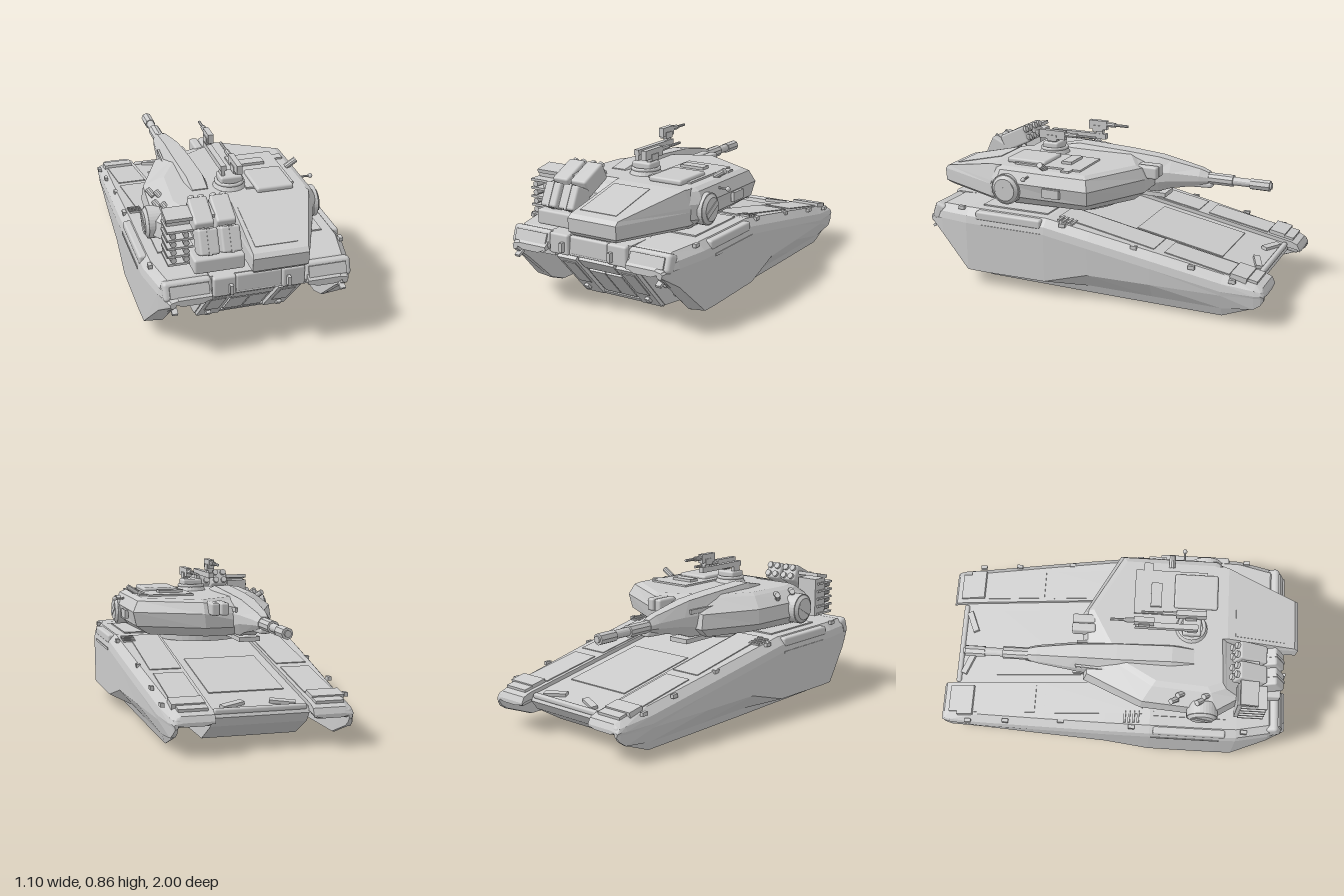
import * as THREE from 'three';
import { RoundedBoxGeometry } from 'three/addons/geometries/RoundedBoxGeometry.js';

const grey = new THREE.MeshStandardMaterial({ color: 0xcccccc, flatShading: true, side: THREE.DoubleSide });
const smooth = new THREE.MeshStandardMaterial({ color: 0xcccccc });

// Skin a list of equal-length rings of [x,y,z]; u,v are the axes used to fill the end caps
function loft(rings, u, v) {
  const tris = [], n = rings[0].length;
  for (let r = 0; r + 1 < rings.length; r++) for (let i = 0; i < n; i++) {
    const j = (i + 1) % n, a = rings[r], b = rings[r + 1];
    tris.push([a[i], a[j], b[j]], [a[i], b[j], b[i]]);
  }
  [rings[0], rings[rings.length - 1]].forEach((ring, end) => {
    const flat = ring.map(p => new THREE.Vector2(p[u], p[v]));
    const sign = Math.sign(THREE.ShapeUtils.area(flat)) * (end ? 1 : -1);
    for (const [a, b, c] of THREE.ShapeUtils.triangulateShape(flat, [])) {
      const s = Math.sign(THREE.ShapeUtils.area([flat[a], flat[b], flat[c]]));
      tris.push(s === sign ? [ring[a], ring[b], ring[c]] : [ring[a], ring[c], ring[b]]);
    }
  });
  // Turn every face outward by the sign of the enclosed volume
  const V = p => new THREE.Vector3(...p);
  const volume = tris.reduce((s, t) => s + V(t[0]).dot(V(t[1]).cross(V(t[2]))), 0);
  if (volume < 0) tris.forEach(t => t.reverse());
  const g = new THREE.BufferGeometry();
  g.setAttribute('position', new THREE.Float32BufferAttribute(tris.flat(2), 3));
  g.computeVertexNormals();
  return g;
}

export function createModel() {
  const model = new THREE.Group();
  model.name = 'tank';
  let target = model;
  const group = (name, parent = model) => {
    target = new THREE.Group();
    target.name = name;
    parent.add(target);
    return target;
  };
  const add = (name, geo, pos = [0, 0, 0], rot = [0, 0, 0], mat = grey) => {
    const m = new THREE.Mesh(geo, mat);
    m.name = name;
    m.position.set(...pos);
    m.rotation.set(...rot);
    target.add(m);
  };
  const box = (name, size, pos, rot) => add(name, new THREE.BoxGeometry(...size), pos, rot);
  const soft = (name, size, pos, rot, r = 0.012) => add(name, new RoundedBoxGeometry(...size, 2, r), pos, rot, smooth);
  const rod = (name, r1, r2, len, pos, rot, sides = 16) =>
    add(name, new THREE.CylinderGeometry(r1, r2, len, sides), pos, rot);
  const alongZ = [-Math.PI / 2, 0, 0], alongX = [0, 0, Math.PI / 2];
  const slope = -0.185, deckY = z => 0.43 - Math.max(0, 0.2 - z) * 0.187;

  // Central hull
  group('hull');
  const profile = [[0.9, 0.425], [0.92, 0.32], [0.86, 0.3], [0.6, 0.02], [0.45, 0], [-0.3, 0], [-0.33, 0.02],
    [-0.74, 0.025], [-0.9, 0.12], [-0.935, 0.17], [-0.92, 0.2], [0.2, 0.412], [0.3, 0.425]];
  add('hullBody', loft([-0.25, 0.25].map(x => profile.map(([z, y]) => [x, y, z])), 2, 1));
  box('glacisPanel', [0.4, 0.01, 0.5], [0, 0.289, -0.45], [slope, 0, 0]);
  soft('noseRail', [0.48, 0.03, 0.03], [0, 0.2, -0.92]);
  for (const s of [-1, 1]) box('noseBrace', [0.13, 0.02, 0.035], [s * 0.13, 0.217, -0.87], [slope, s * 0.4, 0]);
  rod('turretRing', 0.25, 0.25, 0.06, [0, 0.43, 0.25], [0, 0, 0], 40);

  // Sloping rear face with doors, pillars and steps
  const tilt = 0.75;
  const rear = (name, w, h, d, x, y, out = 0) =>
    box(name, [w, h, d], [x, y - out * 0.68, 0.6 + (y - 0.02) * 0.93 + out * 0.73], [tilt, 0, 0]);
  for (const s of [-1, 1]) {
    rear('rearDoor', 0.1, 0.21, 0.015, s * 0.053, 0.13, 0.003);
    rear('rearPillar', 0.12, 0.35, 0.03, s * 0.185, 0.16, 0.005);
    rear('pillarPanel', 0.08, 0.2, 0.02, s * 0.185, 0.19, 0.014);
    rear('rearLamp', 0.025, 0.035, 0.03, s * 0.195, 0.08, 0.02);
    soft('rearDeckBlock', [0.12, 0.11, 0.05], [s * 0.18, 0.37, 0.905]);
    box('towEye', [0.018, 0.05, 0.03], [s * 0.15, 0.36, 0.94]);
    for (const [y, z] of [[0.24, 0.72], [0.14, 0.6], [0.06, 0.5]]) {
      rod('hub', 0.022, 0.022, 0.04, [s * 0.265, y, z], alongX);
      rod('hubCap', 0.014, 0.014, 0.06, [s * 0.265, y, z], alongX);
    }
  }
  rear('rearUpperPanel', 0.22, 0.08, 0.02, 0, 0.26, 0.005);
  rear('rearSill', 0.49, 0.03, 0.02, 0, 0.03);
  soft('rearDeckCentre', [0.24, 0.1, 0.04], [0, 0.372, 0.9]);

  // Hollow side sponsons: z, top, bottom, outer x, tunnel roof, share of the height below the skirt crease
  const stations = [[0.955, 0.345, 0.305, 0.465, 0.31, 0.2], [0.86, 0.42, 0.23, 0.505, 0.31, 0.1],
    [0.68, 0.43, 0.065, 0.543, 0.31, 0.03], [0.58, 0.43, 0.027, 0.545, 0.3, 0.12], [0.2, 0.43, 0.025, 0.545, 0.29, 0.14],
    [-0.05, 0.385, 0.023, 0.533, 0.26, 0.36], [-0.4, 0.32, 0.022, 0.512, 0.22, 0.43],
    [-0.78, 0.248, 0.022, 0.487, 0.16, 0.55], [-0.95, 0.215, 0.09, 0.472, 0.15, 0.5],
    [-0.985, 0.2, 0.115, 0.464, 0.15, 0.45], [-1, 0.17, 0.14, 0.455, 0.15, 0.4]];
  for (const s of [-1, 1]) {
    group(s > 0 ? 'leftSponson' : 'rightSponson');
    add('sponsonShell', loft(stations.map(([z, t, b, xo, roof, crease]) => {
      const h = t - b, lip = Math.min(b + 0.004, roof), bevel = Math.min(0.04, h * 0.2);
      const side = roof + Math.min(0.03, (t - roof) * 0.4);
      return [[0.25, t], [xo - 0.045, t], [xo - 0.008, t - bevel], [xo, t - bevel * 2], [xo - 0.003, b + h * crease],
        [Math.min(0.463, xo - 0.006), Math.max(b, 0.068)], [0.447, b], [0.436, lip], [0.433, side], [0.4, roof],
        [0.3, roof], [0.268, side], [0.25, side]].map(([x, y]) => [s * x, y, z]);
    }), 0, 1));
    const top = (name, w, d, x, z, h = 0.01) =>
      box(name, [w, h, d], [s * x, deckY(z) + h * 0.2, z], [z < 0.2 ? slope : 0, 0, 0]);
    top('rearDeckPanel', 0.19, 0.4, 0.35, 0.42);
    top('frontDeckPanel', 0.17, 0.56, 0.35, -0.12);
    top('noseDeckPanel', 0.16, 0.36, 0.35, -0.63);
    top('headlampHousing', 0.17, 0.09, 0.36, -0.86, 0.03);
    top('headlampRidge', 0.15, 0.05, 0.35, -0.93, 0.02);
    for (let i = 0; i < 4; i++) top('deckGrille', 0.07, 0.012, 0.45, 0.06 + i * 0.025, 0.015);
    // Nose lobes
    for (const x of [0.305, 0.41]) soft('noseLobe', [0.09, 0.05, 0.1], [s * x, 0.175, -0.945], [slope, 0, 0], 0.02);
    // Rear lamp housing and beam under it
    soft('rearLampHousing', [0.25, 0.1, 0.07], [s * 0.365, 0.37, 0.89], [-0.35, 0, 0], 0.02);
    box('rearLampPanel', [0.2, 0.06, 0.02], [s * 0.36, 0.378, 0.923], [-0.35, 0, 0]);
    box('tunnelBeam', [0.2, 0.03, 0.06], [s * 0.35, 0.295, 0.84]);
    // Side locker, step, hinges and tow hook
    soft('sideLocker', [0.05, 0.05, 0.4], [s * 0.517, 0.4, 0.42]);
    box('sideStep', [0.02, 0.014, 0.38], [s * 0.538, 0.345, 0.4]);
    for (const z of [0.72, 0.1, -0.3, -0.62, -0.84])
      box('hinge', [0.02, 0.02, 0.035], [s * (z < -0.2 ? 0.478 : 0.51), deckY(z) - 0.004, z]);
    box('towHook', [0.03, 0.015, 0.05], [s * 0.44, 0.28, 0.93], [0.5, 0, 0]);
  }

  // Turret body, stacked from outlines at rising heights
  const turret = group('turret');
  const stack = (name, levels) => add(name, loft(levels.map(([y, pts]) => pts.map(([x, z]) => [x, y, z])), 0, 2));
  stack('turretBody', [
    [0.445, [[-0.25, -0.1], [0.05, -0.12], [0.34, 0.05], [0.37, 0.55], [0.3, 0.64], [-0.32, 0.64], [-0.39, 0.5], [-0.35, 0.15]]],
    [0.5, [[-0.28, -0.18], [0.07, -0.19], [0.42, 0], [0.43, 0.55], [0.38, 0.62], [-0.36, 0.7], [-0.45, 0.56], [-0.42, 0.14]]],
    [0.58, [[-0.27, -0.16], [0.08, -0.2], [0.44, -0.01], [0.44, 0.54], [0.39, 0.6], [-0.36, 0.68], [-0.44, 0.55], [-0.41, 0.15]]],
    [0.64, [[-0.22, 0], [0.08, -0.17], [0.41, 0.01], [0.41, 0.53], [0.38, 0.57], [-0.33, 0.6], [-0.36, 0.52], [-0.34, 0.2]]],
    [0.655, [[-0.2, 0.02], [0.08, -0.14], [0.38, 0.03], [0.38, 0.52], [0.36, 0.56], [-0.3, 0.58], [-0.33, 0.5], [-0.31, 0.22]]]]);
  stack('bustle', [
    [0.452, [[-0.05, 0.5], [0.36, 0.5], [0.37, 0.6], [0.21, 0.97], [-0.045, 0.97]]],
    [0.475, [[-0.06, 0.5], [0.39, 0.5], [0.4, 0.6], [0.23, 0.995], [-0.06, 0.995]]],
    [0.545, [[-0.06, 0.5], [0.39, 0.5], [0.4, 0.6], [0.23, 1], [-0.06, 1]]],
    [0.565, [[-0.06, 0.5], [0.39, 0.5], [0.4, 0.59], [0.23, 0.98], [-0.055, 0.98]]],
    [0.655, [[-0.055, 0.48], [0.36, 0.48], [0.38, 0.57], [0.37, 0.6], [-0.05, 0.6]]]]);

  // Gun housing and barrel
  group('mainGun', turret);
  const gx = -0.165;
  add('gunHousing', loft([[0.42, 0.08, 0.5, 0.66], [0.3, 0.09, 0.46, 0.685], [0, 0.09, 0.45, 0.67], [-0.2, 0.077, 0.455, 0.655],
    [-0.27, 0.07, 0.48, 0.642], [-0.44, 0.048, 0.515, 0.61], [-0.49, 0.036, 0.525, 0.592]].map(([z, w, b, t]) => {
    const h = t - b;
    return [[-0.6, 0], [0.6, 0], [1, 0.3], [1, 0.6], [0.5, 1], [-0.5, 1], [-1, 0.6], [-1, 0.3]]
      .map(([x, y]) => [gx + x * w, b + y * h, z]);
  }), 0, 1));
  soft('barrelShroud', [0.06, 0.03, 0.26], [gx, 0.513, -0.38], [0.05, 0, 0]);
  box('cradlePlate', [0.12, 0.025, 0.25], [gx, 0.438, -0.12]);
  rod('barrelSleeve', 0.034, 0.034, 0.16, [gx, 0.556, -0.55], alongZ, 10);
  rod('barrel', 0.023, 0.023, 0.3, [gx, 0.555, -0.69], alongZ);
  rod('muzzle', 0.031, 0.031, 0.11, [gx, 0.552, -0.785], alongZ, 8);
  rod('bore', 0.018, 0.018, 0.02, [gx, 0.552, -0.84], alongZ);
  for (const s of [-1, 1]) box('housingRib', [0.012, 0.025, 0.25], [gx + s * 0.078, 0.6, -0.1], [0, s * 0.06, 0]);

  // Roof panels, hatches and sights
  group('roofFittings', turret);
  box('roofPanel', [0.26, 0.014, 0.4], [0.2, 0.658, 0.28]);
  soft('hatch', [0.2, 0.03, 0.24], [0.21, 0.668, 0.42]);
  box('hatchRidge', [0.14, 0.02, 0.06], [0.18, 0.67, 0.2]);
  for (const x of [-0.02, 0.033]) soft('sightHousing', [0.048, 0.07, 0.13], [x, 0.61, -0.19]);
  box('sightWindow', [0.07, 0.02, 0.05], [0.34, 0.655, 0.15]);
  box('bustlePanel', [0.22, 0.008, 0.3], [0.08, 0.609, 0.79], [0.233, 0, 0]);
  box('rightSideRack', [0.02, 0.05, 0.1], [0.445, 0.55, 0.2]);
  rod('sensor', 0.017, 0.017, 0.07, [0.385, 0.675, 0.28], [0, 0, -1.0], 10);
  rod('sensorArm', 0.006, 0.006, 0.06, [0.45, 0.62, 0.35], alongX, 8);
  add('sensorBall', new THREE.SphereGeometry(0.013, 12, 8), [0.475, 0.62, 0.35], [0, 0, 0], smooth);
  for (const [s, x] of [[-1, 0.435], [1, 0.41]]) {
    rod('sideDisc', 0.085, 0.085, 0.07, [s * x, 0.54, 0.48], alongX, 32);
    rod('sideDiscCap', 0.062, 0.08, 0.015, [s * (x + 0.042), 0.54, 0.48], [0, 0, -s * Math.PI / 2], 32);
    box('sideDiscBar', [0.01, 0.03, 0.12], [s * (x + 0.048), 0.54, 0.48], [0.5, 0, 0]);
  }
  for (const z of [0.34, 0.48]) for (const d of [-0.018, 0.018])
    rod('smokeTube', 0.016, 0.016, 0.05, [-0.39 + d, 0.625, z + d], [-0.9, 0, 0.5], 10);

  // Cupola with two machine guns
  group('cupola', turret);
  rod('cupolaBase', 0.075, 0.09, 0.03, [0, 0.665, 0.4], [0, 0, 0], 24);
  add('cupolaRing', new THREE.TorusGeometry(0.07, 0.01, 8, 28), [0, 0.683, 0.4], [Math.PI / 2, 0, 0], smooth);
  soft('gunPedestal', [0.12, 0.05, 0.1], [0, 0.697, 0.4]);
  for (const [x, y, z, len] of [[0.035, 0.765, 0.32, 0.36], [-0.04, 0.83, 0.09, 0.24]]) {
    box('gunReceiver', [0.03, 0.05, len * 0.45], [x, y, z + len * 0.2]);
    box('ammoBox', [0.04, 0.035, 0.06], [x, y - 0.02, z + len * 0.2]);
    rod('gunBarrel', 0.008, 0.008, len * 0.7, [x, y + 0.005, z - len * 0.2], alongZ, 8);
    rod('gunJacket', 0.014, 0.014, len * 0.3, [x, y + 0.005, z - len * 0.08], alongZ, 8);
  }
  box('gunArm', [0.03, 0.03, 0.34], [-0.04, 0.765, 0.26]);
  box('gunPost', [0.025, 0.08, 0.04], [-0.04, 0.79, 0.13]);
  for (const x of [-0.04, 0.035]) box('gunBracket', [0.02, 0.06, 0.05], [x, 0.735, 0.4]);

  // Rear launcher packs and stowage on the right side
  group('launcher', turret);
  soft('launcherBase', [0.26, 0.08, 0.28], [-0.2, 0.49, 0.77]);
  for (const x of [-0.25, -0.137]) {
    soft('stowagePack', [0.1, 0.13, 0.12], [x, 0.59, 0.84], [-0.45, 0, 0]);
    box('packStrap', [0.015, 0.136, 0.126], [x, 0.59, 0.84], [-0.45, 0, 0]);
    soft('launcherPod', [0.1, 0.1, 0.17], [x, 0.67, 0.72], [0.45, 0, 0]);
    for (const dx of [-0.025, 0.025]) for (const dy of [-0.025, 0.025])
      rod('launchTube', 0.018, 0.018, 0.03, [x + dx, 0.707 + dy * 0.9, 0.644 + dy * 0.43], [-Math.PI / 2 + 0.45, 0, 0], 12);
  }
  box('rackPlate', [0.34, 0.02, 0.1], [-0.265, 0.695, 0.72], [0.2, 0, 0]);
  box('rackBack', [0.12, 0.22, 0.1], [-0.37, 0.57, 0.71]);
  for (let i = 0; i < 5; i++) {
    box('rackShelf', [0.13, 0.012, 0.14], [-0.375, 0.47 + i * 0.045, 0.75]);
    if (i < 4) for (const x of [-0.41, -0.345])
      rod('rackTube', 0.015, 0.015, 0.12, [x, 0.493 + i * 0.045, 0.76], alongZ, 10);
  }
  return model;
}
